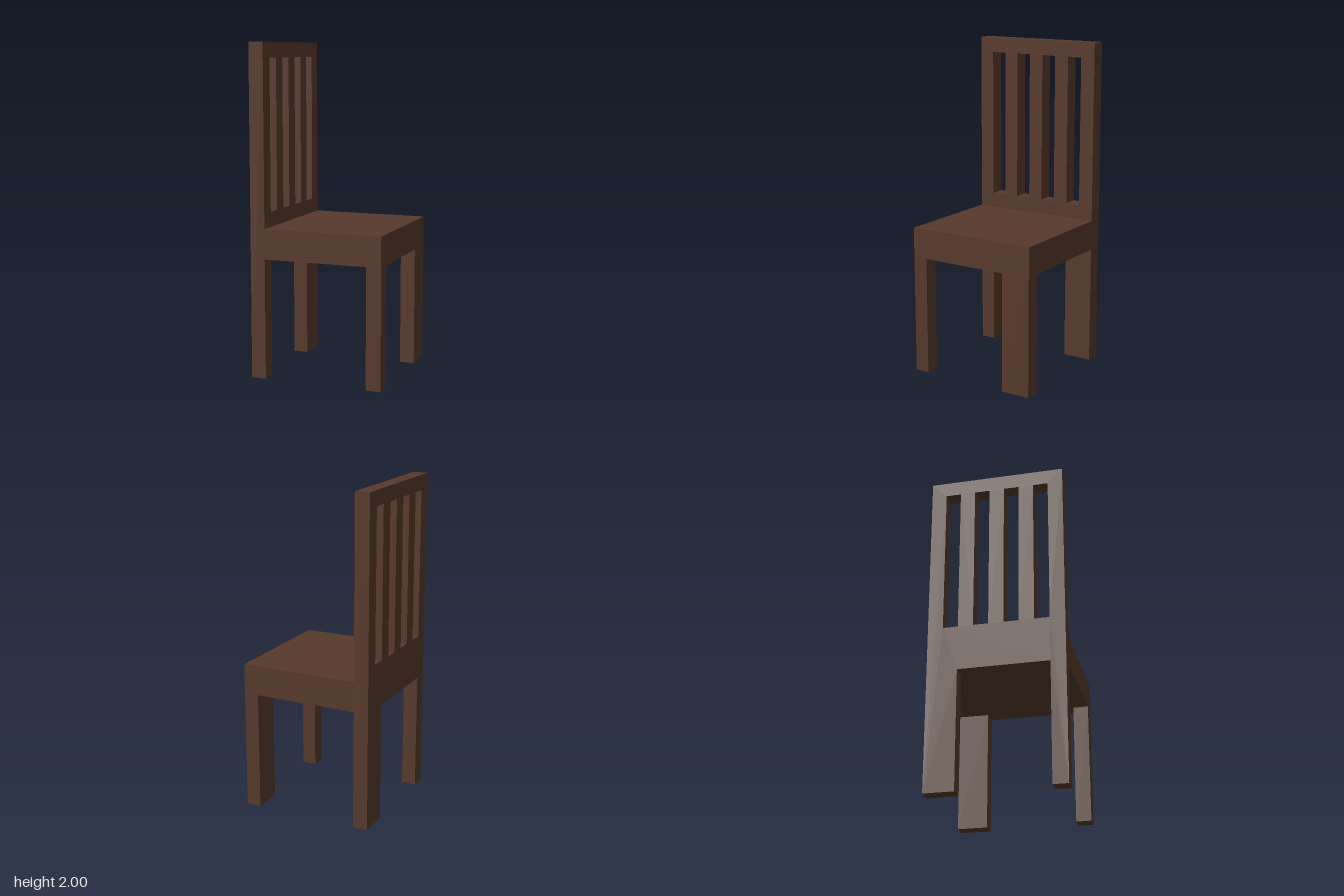
import * as THREE from 'three';

// Every dimension is a whole number of units; the chair is 22 units tall.
const U = 1 / 11;

export function createModel() {
  const chair = new THREE.Group();
  chair.name = 'chair';
  const wood = new THREE.MeshStandardMaterial({ color: 0x57392b });
  wood.name = 'dark wood';

  const addMesh = (name, geometry) => {
    const mesh = new THREE.Mesh(geometry, wood);
    mesh.name = name;
    chair.add(mesh);
    return mesh;
  };

  // Box given by its low and high corners, in units
  const addBox = (name, [x0, y0, z0], [x1, y1, z1]) =>
    addMesh(name, new THREE.BoxGeometry((x1 - x0) * U, (y1 - y0) * U, (z1 - z0) * U))
      .position.set((x0 + x1) / 2 * U, (y0 + y1) / 2 * U, (z0 + z1) / 2 * U);

  // Slatted back with its two legs, cut from one board (drawn with -z to the right)
  const points = (list) => list.map(([u, y]) => new THREE.Vector2(u * U, y * U));
  const outline = new THREE.Shape(points([
    [-4.5, 0], [-3.5, 0], [-3.5, 8], [2.5, 8], [2.5, 0], [4.5, 0], [4.5, 22], [-4.5, 22],
  ]));
  for (let u = -3.5; u < 3; u += 2) {
    outline.holes.push(new THREE.Path(points([[u, 11], [u, 21], [u + 1, 21], [u + 1, 11]])));
  }
  const board = new THREE.ExtrudeGeometry(outline, { depth: U, bevelEnabled: false });
  board.rotateY(Math.PI / 2).translate(-4.5 * U, 0, 0);
  addMesh('slattedBackWithLegs', board);

  // Thick seat slab
  addBox('seat', [-3.5, 8, -4.5], [4.5, 10, 4.5]);

  // Legs under the open edge: one narrow, one twice as wide
  addBox('narrowLeg', [3.5, 0, 3.5], [4.5, 8, 4.5]);
  addBox('wideLeg', [3.5, 0, -4.5], [4.5, 8, -2.5]);

  return chair;
}
